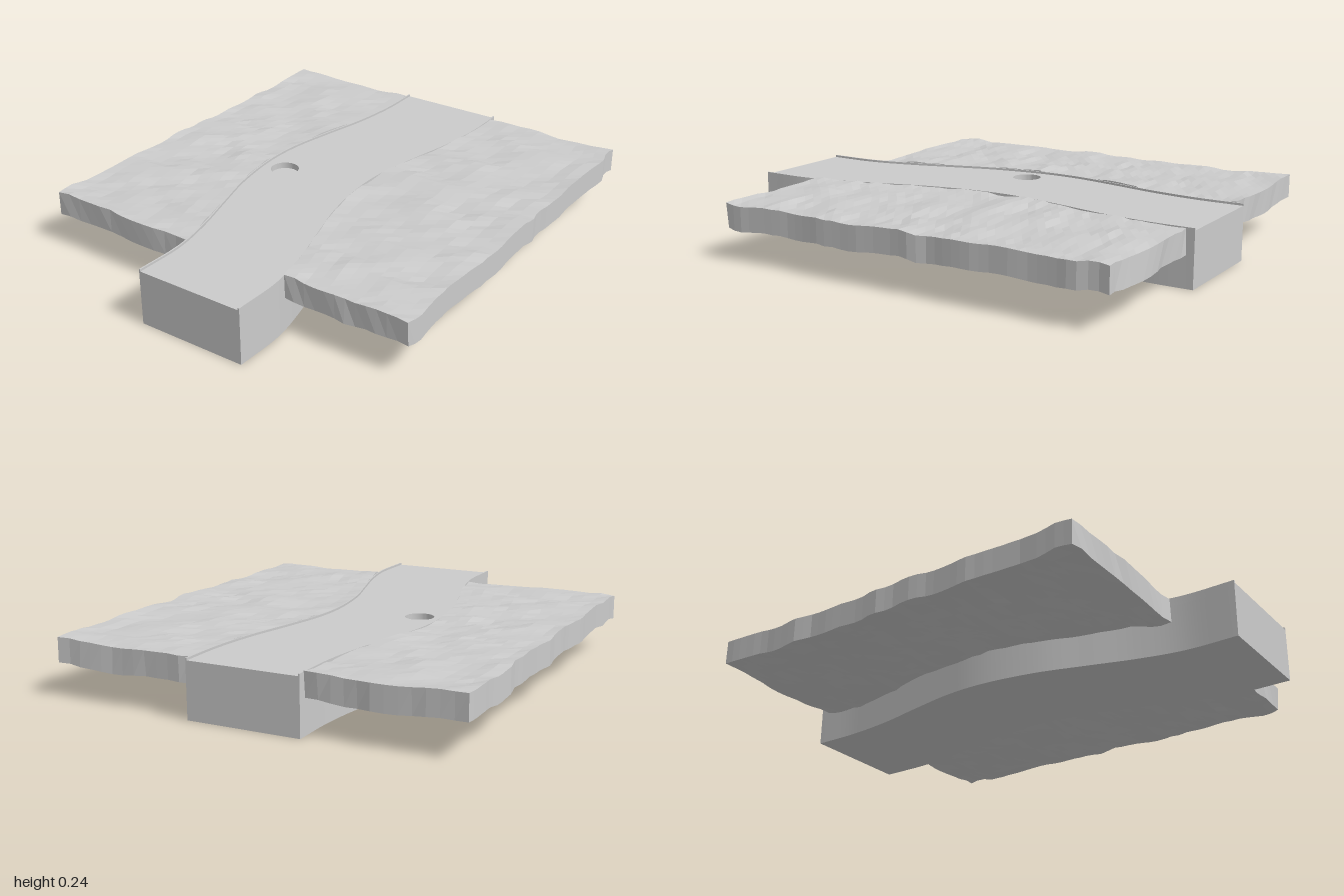
import * as THREE from 'three';
import { toCreasedNormals } from 'three/addons/utils/BufferGeometryUtils.js';

const TOP = 0.235, WIDTH = 0.47, LIP = 0.006;
const material = new THREE.MeshStandardMaterial({ color: 0xcccccc });
const rockMaterial = new THREE.MeshStandardMaterial({ color: 0xcccccc, flatShading: true });

// left bank line of the river as [z, x]
const bank = new THREE.CatmullRomCurve3([
  [-1, -0.24], [-0.8, -0.24], [-0.6, -0.262], [-0.4, -0.303], [-0.2, -0.338], [-0.03, -0.342],
  [0.2, -0.308], [0.4, -0.25], [0.6, -0.19], [0.78, -0.154], [1, -0.152],
].map(([z, x]) => new THREE.Vector3(x, 0, z))).getPoints(100);

function bankX(z) {
  let i = 1;
  while (i < bank.length - 1 && bank[i].z < z) i++;
  const a = bank[i - 1], b = bank[i];
  return a.x + (b.x - a.x) * (z - a.z) / (b.z - a.z);
}

// smooth seeded noise in -1..1
function hash(i, j, seed) {
  const s = Math.sin(i * 127.1 + j * 311.7 + seed * 74.7) * 43758.5453;
  return (s - Math.floor(s)) * 2 - 1;
}
function noise(x, z, seed) {
  const i = Math.floor(x), j = Math.floor(z);
  const u = THREE.MathUtils.smoothstep(x - i, 0, 1), v = THREE.MathUtils.smoothstep(z - j, 0, 1);
  const lerp = THREE.MathUtils.lerp;
  return lerp(lerp(hash(i, j, seed), hash(i + 1, j, seed), u),
    lerp(hash(i, j + 1, seed), hash(i + 1, j + 1, seed), u), v);
}

// plan strip between two offsets from the left bank, raised from y0 to y1
function strip(name, from, to, y0, y1, hole) {
  const shape = new THREE.Shape([
    ...bank.map(p => new THREE.Vector2(p.x + from, -p.z)),
    ...bank.map(p => new THREE.Vector2(p.x + to, -p.z)).reverse(),
  ]);
  if (hole) shape.holes.push(hole);
  const geometry = new THREE.ExtrudeGeometry(shape, { depth: y1 - y0, bevelEnabled: false, curveSegments: 24 });
  geometry.rotateX(-Math.PI / 2).translate(0, y0, 0);
  const mesh = new THREE.Mesh(toCreasedNormals(geometry, 0.5), material);
  mesh.name = name;
  return mesh;
}

// rough slab lofted along z between two side lines
function ground(name, xStart, xEnd) {
  const rows = 44, cols = 12, ring = 2 * (cols + 1);
  const pos = [], index = [];
  for (let j = 0; j <= rows; j++) {
    const z = THREE.MathUtils.lerp(-0.968, 0.73, j / rows);
    const x0 = xStart(z), x1 = xEnd(z);
    for (let k = 0; k < ring; k++) {
      const under = k > cols;
      const t = (under ? ring - 1 - k : k) / cols;
      const x = THREE.MathUtils.lerp(x0, x1, t);
      const bump = noise(x * 7, z * 9, 1) * 0.009 + noise(x * 15, z * 22, 2) * 0.005;
      const y = under ? 0.132 + bump * 1.2 : TOP - 0.002 + bump;
      const endWave = j === 0 || j === rows ? noise(x * 14, z * 3, under ? 5 : 4) * 0.007 : 0;
      pos.push(x, y, z + endWave);
    }
  }
  for (let j = 0; j < rows; j++) {
    for (let k = 0; k < ring; k++) {
      const n = (k + 1) % ring;
      const a = j * ring + k, b = a + ring, c = j * ring + n, d = c + ring;
      index.push(a, b, c, c, b, d);
    }
  }
  // end faces
  for (let k = 0; k < cols; k++) {
    const a = k, b = ring - 1 - k, c = ring - 2 - k, d = k + 1, f = rows * ring;
    index.push(f + a, f + b, f + c, f + a, f + c, f + d);
    index.push(a, c, b, a, d, c);
  }
  const indexed = new THREE.BufferGeometry();
  indexed.setAttribute('position', new THREE.Float32BufferAttribute(pos, 3));
  indexed.setIndex(index);
  const geometry = indexed.toNonIndexed();
  geometry.computeVertexNormals();
  const mesh = new THREE.Mesh(geometry, rockMaterial);
  mesh.name = name;
  return mesh;
}

export function createModel() {
  const model = new THREE.Group();
  model.name = 'riverTile';

  // river body with a shallow round socket in its surface
  const socket = new THREE.Path().absarc(-0.24, 0, 0.06, 0, Math.PI * 2, true);
  model.add(strip('riverBase', 0, WIDTH, 0, 0.2));
  model.add(strip('riverSurface', 0, WIDTH, 0.2, 0.226, socket));

  // thin raised lips along both sides
  model.add(strip('rightLip', 0, LIP, 0.226, TOP));
  model.add(strip('leftLip', WIDTH - LIP, WIDTH, 0.226, TOP));

  // rough ground on both sides
  const wave = (z, seed) => noise(3, z * 12, seed) * 0.009;
  model.add(ground('rightGround', z => -0.848 + wave(z, 7), z => bankX(z)));
  model.add(ground('leftGround', z => bankX(z) + WIDTH, z => 0.842 + wave(z, 8)));
  return model;
}
